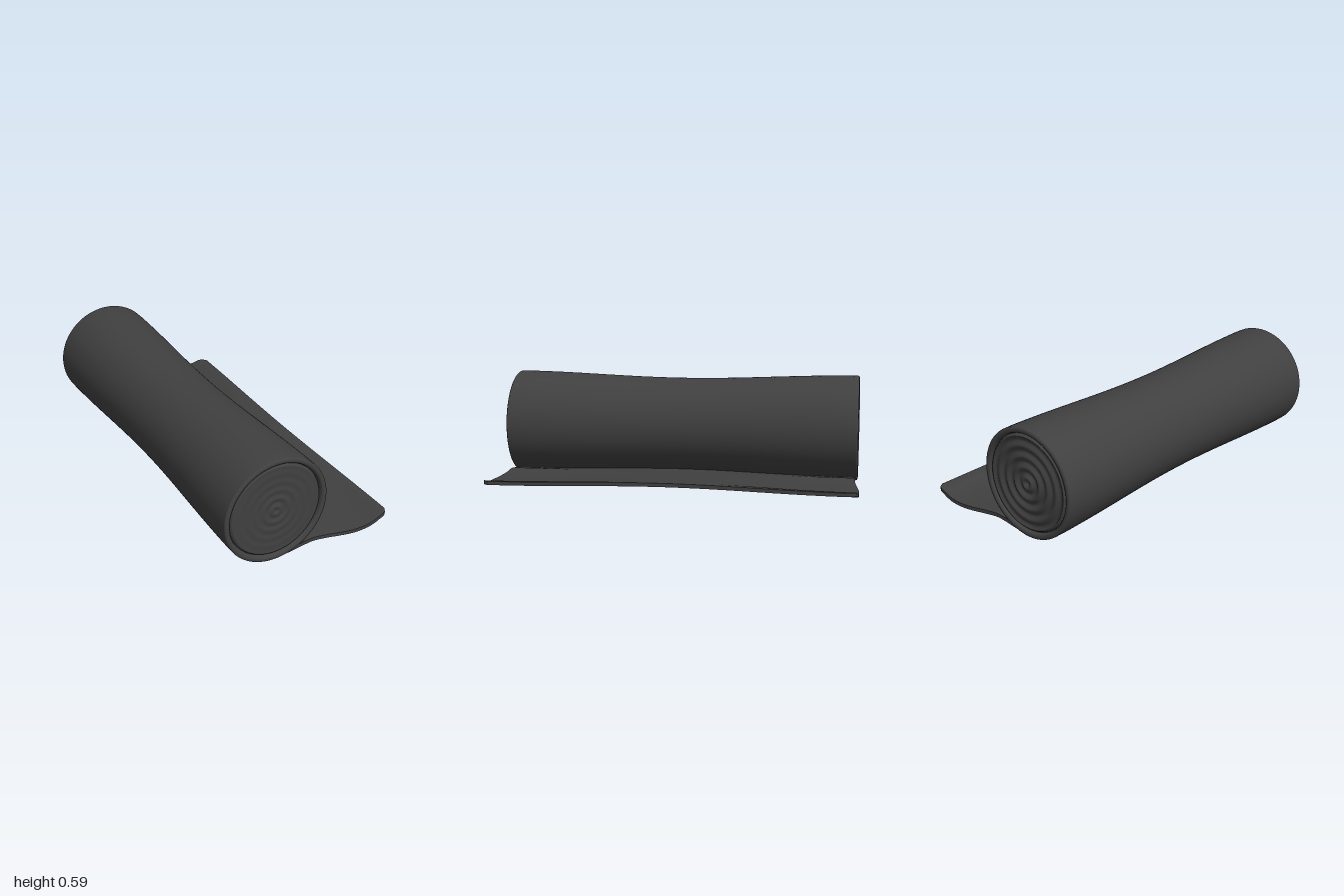
import * as THREE from 'three';

const CX = -0.2, CY = 0.295;
const rollRadius = (z) => 0.265 + 0.014 * (1 - Math.cos(Math.PI * Math.min(1, Math.abs(z))));

// Piecewise smooth interpolation through [x, y] points
function profile(points) {
  return (x) => {
    let i = 0;
    while (i < points.length - 2 && x > points[i + 1][0]) i++;
    const p = (k) => points[Math.max(0, Math.min(points.length - 1, k))];
    const slope = (k) => (p(k + 1)[1] - p(k - 1)[1]) / (p(k + 1)[0] - p(k - 1)[0]);
    const [x0, y0] = p(i), [x1, y1] = p(i + 1), h = x1 - x0;
    const t = Math.max(0, Math.min(1, (x - x0) / h)), s = 1 - t;
    return y0 * (1 + 2 * t) * s * s + h * slope(i) * t * s * s
      + y1 * t * t * (3 - 2 * t) - h * slope(i + 1) * t * t * s;
  };
}

// End face from the centre out to the rounded lip: [radius, distance from the middle]
function endFace(depth, amplitude, period, fade) {
  const pts = [];
  for (let i = 0; i <= 72; i++) {
    const r = 0.246 * i / 72;
    pts.push([r, depth - amplitude * Math.exp(-r * fade) * Math.cos(2 * Math.PI * r / period)]);
  }
  pts.push([0.252, depth - 0.003], [0.256, depth - 0.011], [0.259, depth - 0.011], [0.262, depth - 0.001]);
  for (let i = 0; i <= 8; i++) {
    const a = Math.PI * (1 - i / 8);
    pts.push([0.2775 + 0.0145 * Math.cos(a), depth + 0.009 * Math.sin(a)]);
  }
  return pts;
}

// Rolled body, slightly waisted, with rippled ends
function makeRoll(material) {
  const back = endFace(0.974, 0.007, 0.056, 1.5);
  const front = endFace(0.97, 0.004, 0.046, 9);
  const pts = back.map(([r, d]) => new THREE.Vector2(r, -d));
  for (let i = 1; i < 40; i++) {
    const z = -0.97 + 1.94 * i / 40;
    pts.push(new THREE.Vector2(rollRadius(z), z));
  }
  front.reverse().forEach(([r, d]) => pts.push(new THREE.Vector2(r, d)));
  const geometry = new THREE.LatheGeometry(pts, 96);
  geometry.rotateX(Math.PI / 2);
  const roll = new THREE.Mesh(geometry, material);
  roll.name = 'roll';
  roll.position.set(CX, CY, 0);
  return roll;
}

// Loose flap: a thin box bent along its length and across its width
function makeFlap(material) {
  const edgeHeight = profile([[-0.2, 0.013], [-0.1, 0.022], [-0.04, 0.031], [0.03, 0.038], [0.12, 0.028],
    [0.24, 0.019], [0.35, 0.021], [0.4, 0.031], [0.45, 0.045], [0.49, 0.048]]);
  const middleHeight = profile([[-0.2, 0.041], [0.03, 0.041], [0.25, 0.052], [0.44, 0.062], [0.49, 0.062]]);
  const halfLength = profile([[-0.2, 0.97], [0.1, 0.973], [0.18, 0.983], [0.27, 0.995], [0.36, 0.995],
    [0.43, 0.988], [0.47, 0.978], [0.488, 0.95]]);
  const geometry = new THREE.BoxGeometry(1, 1, 1, 48, 1, 64);
  const p = geometry.attributes.position;
  for (let i = 0; i < p.count; i++) {
    const u = p.getX(i) + 0.5, v = p.getZ(i) * 2;
    const flat = -0.2 + u * 0.688;
    const z = v * halfLength(flat);
    // the free edge bows inwards at mid length
    const x = flat - 0.026 * u * u * (0.5 + 0.5 * Math.cos(Math.PI * v));
    const blend = 0.5 + 0.5 * Math.cos(Math.PI * v);
    const y = edgeHeight(flat) * (1 - blend) + middleHeight(flat) * blend;
    p.setXYZ(i, x, y + p.getY(i) * 0.02, z);
  }
  geometry.computeVertexNormals();
  const flap = new THREE.Mesh(geometry, material);
  flap.name = 'flap';
  return flap;
}

export function createModel() {
  const group = new THREE.Group();
  group.name = 'rolledMat';
  const material = new THREE.MeshStandardMaterial({ color: 0x404040 });
  group.add(makeRoll(material), makeFlap(material));
  return group;
}
